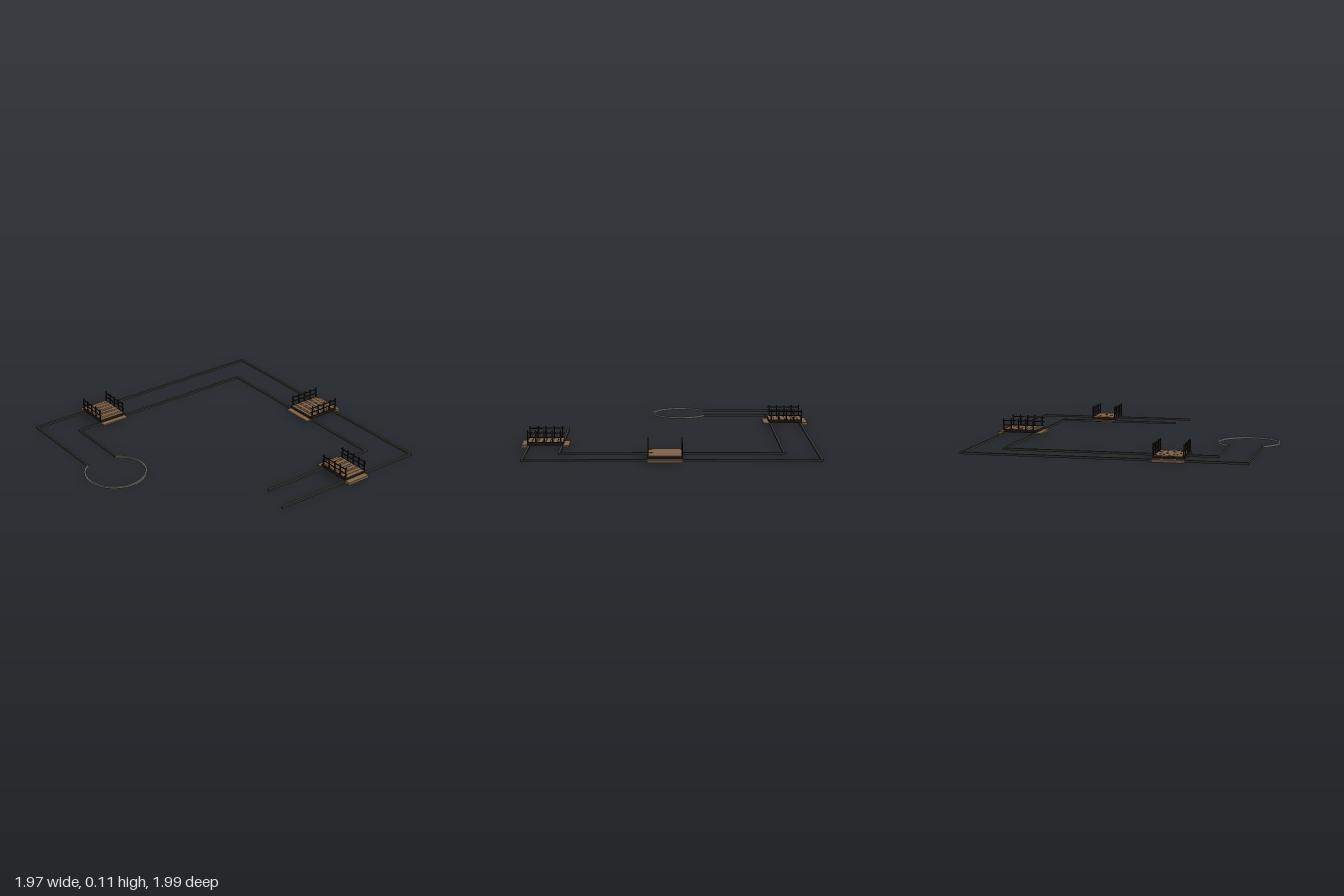
import * as THREE from 'three';

const mat = (color, extra = {}) => new THREE.MeshStandardMaterial({ color, ...extra });
const wood = mat(0x7d6248);
const dark = mat(0x1c1510);
const stone = mat(0x34362f);
const rim = mat(0x6c6c6a);

// Box given by its centre and size
function box(parent, name, material, [x, y, z], [w, h, d]) {
  const mesh = new THREE.Mesh(new THREE.BoxGeometry(w, h, d), material);
  mesh.position.set(x, y, z);
  mesh.name = name;
  parent.add(mesh);
  return mesh;
}

// Low bank running through [x, z] corners, one straight box per stretch
function bank(name, points, widths) {
  const group = new THREE.Group();
  group.name = name;
  for (let i = 0; i < points.length - 1; i++) {
    const [x0, z0] = points[i], [x1, z1] = points[i + 1];
    const t = widths[i];
    const alongX = Math.abs(x1 - x0) > Math.abs(z1 - z0);
    const w = Math.abs(x1 - x0) + (alongX ? 0.014 : t);
    const d = Math.abs(z1 - z0) + (alongX ? t : 0.014);
    box(group, name + 'Stretch', stone, [(x0 + x1) / 2, 0.008, (z0 + z1) / 2], [w, 0.014, d]);
  }
  return group;
}

// Open ring of the pond, with a gap where the canal enters
function pondRim() {
  const outer = 0.21, inner = 0.198, gap = Math.PI - 0.56;
  const shape = new THREE.Shape();
  shape.absarc(0, 0, outer, -gap, gap, false);
  shape.absarc(0, 0, inner, gap, -gap, true);
  const geo = new THREE.ExtrudeGeometry(shape, { depth: 0.014, bevelEnabled: false, curveSegments: 48 });
  geo.rotateX(-Math.PI / 2);
  const mesh = new THREE.Mesh(geo, rim);
  mesh.position.set(-0.083, 0.001, 0.782);
  mesh.name = 'pondRim';
  return mesh;
}

// Footbridge spanning local x, with its outer end at -x
function bridge(name, x, z, width, turn) {
  const group = new THREE.Group();
  group.name = name;
  group.position.set(x, 0, z);
  group.rotation.y = turn;
  const half = 0.118;

  // Deck body and planks
  box(group, 'deckBase', dark, [0, 0.0265, 0], [half * 2, 0.017, width]);
  const ends = [-1, -0.75, -0.5, -0.38, -0.14, 0.02, 0.28, 0.42, 0.68, 0.8, 1].map(v => v * half);
  for (let i = 0; i < ends.length - 1; i++) {
    const a = ends[i], b = ends[i + 1];
    box(group, 'plank', wood, [(a + b) / 2, 0.0365, 0], [b - a - 0.0025, 0.004, width - 0.008]);
  }

  // Steps at both ends
  box(group, 'outerStep', wood, [-half - 0.0165, 0.011, 0], [0.045, 0.018, width]);
  box(group, 'innerStep', wood, [half + 0.0165, 0.013, 0], [0.045, 0.01, width]);

  // Railings
  for (const side of [-1, 1]) {
    const zr = side * (width / 2 - 0.004);
    box(group, 'deckEdge', dark, [0, 0.029, zr], [half * 2, 0.02, 0.008]);
    for (let i = 0; i < 5; i++) {
      box(group, 'railPost', dark, [-0.114 + 0.054 * i, 0.068, zr], [0.008, 0.094, 0.007]);
    }
    for (const y of [0.07, 0.101]) {
      box(group, 'rail', dark, [0, y, zr], [half * 2, 0.006, 0.005]);
    }
  }
  return group;
}

export function createModel() {
  const model = new THREE.Group();
  model.name = 'canalWithBridges';

  // Two parallel banks of the canal
  model.add(bank('outerBank',
    [[-0.262, 0.89], [-0.937, 0.89], [-0.937, -0.954], [0.932, -0.954], [0.932, 0.18]],
    [0.012, 0.016, 0.016, 0.016]));
  model.add(bank('innerBank',
    [[-0.262, 0.672], [-0.72, 0.672], [-0.72, -0.74], [0.715, -0.74], [0.715, 0.115]],
    [0.012, 0.016, 0.016, 0.016]));
  model.add(pondRim());

  // Bridges across the three sides
  model.add(bridge('leftBridge', -0.828, 0.4, 0.2, 0));
  model.add(bridge('rightBridge', 0.824, -0.433, 0.174, Math.PI));
  model.add(bridge('backBridge', 0.041, -0.846, 0.222, -Math.PI / 2));
  return model;
}
